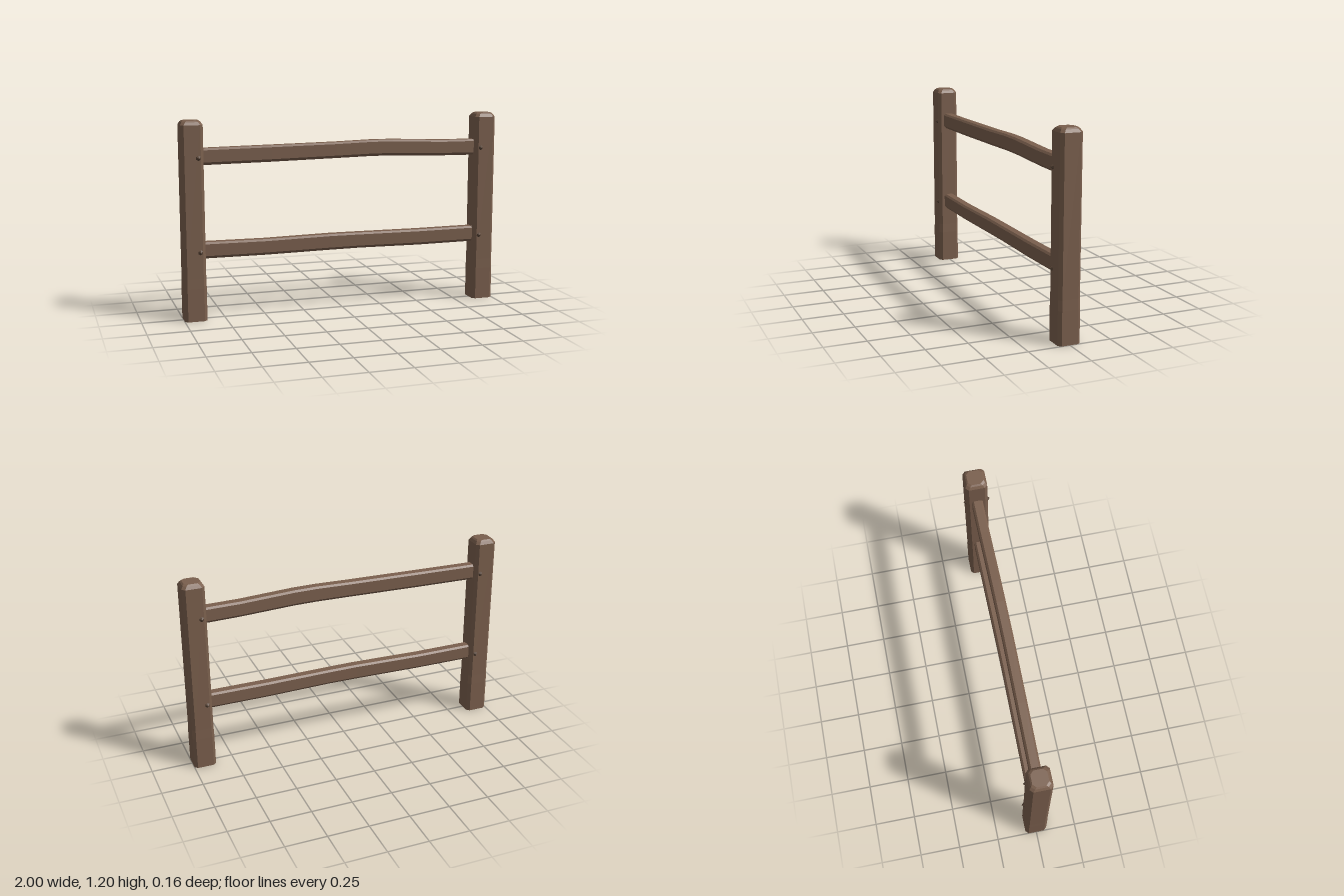
import * as THREE from 'three';

// Chamfered rectangle, counter-clockwise about the loft axis; c = chamfer at -u, d = chamfer at +u
function section(hu, hv, c, d = c) {
  return [
    [hu, -hv + d], [hu, hv - d], [hu - d, hv], [-hu + c, hv],
    [-hu, hv - c], [-hu, -hv + c], [-hu + c, -hv], [hu - d, -hv],
  ];
}

// Faceted solid through a list of rings of [x, y, z] points
function loft(rings) {
  const n = rings[0].length;
  const index = [];
  for (let r = 0; r < rings.length - 1; r++) {
    for (let i = 0; i < n; i++) {
      const a = r * n + i, b = r * n + (i + 1) % n;
      index.push(a, b, b + n, a, b + n, a + n);
    }
  }
  const last = (rings.length - 1) * n;
  for (let i = 1; i < n - 1; i++) {
    index.push(0, i + 1, i, last, last + i, last + i + 1);
  }
  const indexed = new THREE.BufferGeometry();
  indexed.setAttribute('position', new THREE.Float32BufferAttribute(rings.flat(2), 3));
  indexed.setIndex(index);
  const geometry = indexed.toNonIndexed();
  geometry.computeVertexNormals();
  return geometry;
}

function postGeometry() {
  // height, half width, chamfer
  const levels = [
    [0, 0.068, 0.018], [0.2, 0.068, 0.018], [0.26, 0.0665, 0.018],
    [1.175, 0.0665, 0.018], [1.192, 0.056, 0.018], [1.2, 0.047, 0.02],
  ];
  return loft(levels.map(([y, h, c]) => section(h, h, c).map(([u, v]) => [u, y, -v])));
}

// stations: x, centre height, half height, centre z
function railGeometry(stations) {
  return loft(stations.map(([x, y, h, z]) =>
    section(h, 0.033, 0.017, 0.011).map(([u, v]) => [x, y + u, z + v])));
}

export function createModel() {
  const group = new THREE.Group();
  const wood = new THREE.MeshStandardMaterial({ color: 0x7a5f4d });
  const pegWood = new THREE.MeshStandardMaterial({ color: 0x5a4638 });

  const add = (name, geometry, material) => {
    const mesh = new THREE.Mesh(geometry, material);
    mesh.name = name;
    group.add(mesh);
    return mesh;
  };

  // Posts
  for (const side of [-1, 1]) {
    const post = add(side > 0 ? 'leftPost' : 'rightPost', postGeometry(), wood);
    post.position.x = side * 0.932;
  }

  // Gently warped rails
  add('upperRail', railGeometry([
    [-0.89, 0.984, 0.05, -0.001], [-0.45, 0.989, 0.05, 0.003], [-0.05, 0.995, 0.049, 0.006],
    [0.18, 1.0, 0.05, 0.005], [0.32, 0.999, 0.05, 0.004], [0.65, 0.985, 0.049, 0.001],
    [0.89, 0.982, 0.05, -0.001],
  ]), wood);
  add('lowerRail', railGeometry([
    [-0.89, 0.422, 0.05, -0.001], [-0.5, 0.42, 0.049, 0.002], [-0.08, 0.426, 0.05, 0.005],
    [0.1, 0.426, 0.049, 0.005], [0.5, 0.421, 0.05, 0.002], [0.89, 0.422, 0.05, -0.001],
  ]), wood);

  // Pointed pegs on the front and back of each joint
  const peg = new THREE.ConeGeometry(0.017, 0.017, 6).toNonIndexed();
  peg.computeVertexNormals();
  peg.rotateX(Math.PI / 2);
  for (const x of [-0.898, 0.898]) {
    for (const y of [0.42, 0.982]) {
      for (const face of [1, -1]) {
        const mesh = add(face > 0 ? 'frontPeg' : 'backPeg', peg, pegWood);
        mesh.position.set(x, y, face * 0.0735);
        if (face < 0) mesh.rotation.y = Math.PI;
      }
    }
  }
  return group;
}
